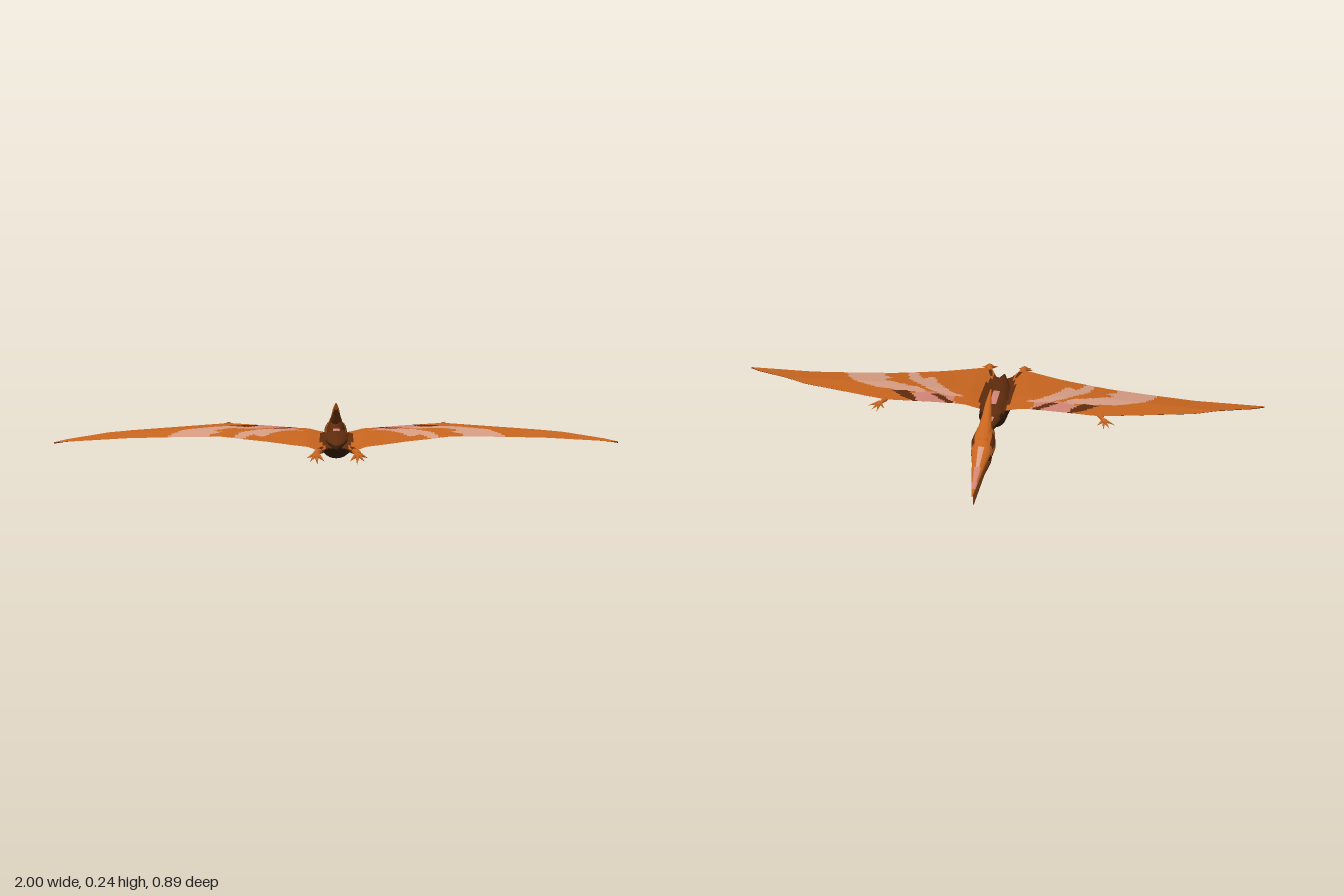
import * as THREE from 'three';

const mat = (name, color) => new THREE.MeshStandardMaterial({ name, color });

// Piecewise linear lookup through [x, value] points
function lerpTable(points, x) {
  for (let i = 1; i < points.length; i++) {
    const [x0, a] = points[i - 1], [x1, b] = points[i];
    if (x <= x1) return a + (b - a) * (x - x0) / (x1 - x0);
  }
  return points[points.length - 1][1];
}

function inside(poly, x, z) {
  let hit = false;
  for (let i = 0, j = poly.length - 1; i < poly.length; j = i++) {
    const [xi, zi] = poly[i], [xj, zj] = poly[j];
    if ((zi > z) !== (zj > z) && x < (xj - xi) * (z - zi) / (zj - zi) + xi) hit = !hit;
  }
  return hit;
}

// Smooth grid whose cells take the material returned by paint(x, y, z)
function paintedGrid(name, rows, cols, point, paint, { flip = false, wrap = false } = {}) {
  const pos = [], buckets = new Map(), n = wrap ? cols : cols + 1;
  for (let i = 0; i <= rows; i++) for (let j = 0; j < n; j++) pos.push(...point(i, j));
  for (let i = 0; i < rows; i++) {
    for (let j = 0; j < cols; j++) {
      const k = (j + 1) % n;
      const a = i * n + j, b = i * n + k, c = (i + 1) * n + k, d = (i + 1) * n + j;
      const mid = [0, 1, 2].map(q => (pos[a * 3 + q] + pos[b * 3 + q] + pos[c * 3 + q] + pos[d * 3 + q]) / 4);
      const m = paint(...mid);
      if (!buckets.has(m)) buckets.set(m, []);
      buckets.get(m).push(...(flip ? [a, b, d, b, c, d] : [a, d, b, b, d, c]));
    }
  }
  const geo = new THREE.BufferGeometry(), index = [];
  geo.setAttribute('position', new THREE.Float32BufferAttribute(pos, 3));
  let slot = 0;
  for (const list of buckets.values()) {
    geo.addGroup(index.length, list.length, slot++);
    for (const v of list) index.push(v);
  }
  geo.setIndex(index);
  geo.computeVertexNormals();
  const mesh = new THREE.Mesh(geo, [...buckets.keys()]);
  mesh.name = name;
  return mesh;
}

// Oval loft through sections [z, top, bottom, halfWidth, centreX], with z falling
function loft(name, sections, paint, sides = 20, sub = 5) {
  const rings = [];
  const shut = ([z, t, b, , c = 0]) => [z, (t + b) / 2, (t + b) / 2, 0, c];
  rings.push(shut(sections[0]));
  sections.forEach((s, i) => {
    const next = sections[i + 1];
    if (!next) return rings.push(s);
    for (let k = 0; k < sub; k++) {
      rings.push([0, 1, 2, 3, 4].map(q => (s[q] || 0) + ((next[q] || 0) - (s[q] || 0)) * k / sub));
    }
  });
  rings.push(shut(sections[sections.length - 1]));
  return paintedGrid(name, rings.length - 1, sides, (i, j) => {
    const [z, t, b, w, c = 0] = rings[i], a = j / sides * Math.PI * 2;
    return [c + w * Math.cos(a), (t + b) / 2 + (t - b) / 2 * Math.sin(a), z];
  }, paint, { wrap: true });
}

// Pointed spike between two points
function spike(name, from, to, r, material) {
  const a = new THREE.Vector3(...from), dir = new THREE.Vector3(...to).sub(a);
  const mesh = new THREE.Mesh(new THREE.ConeGeometry(r, dir.length(), 6), material);
  mesh.position.copy(a).addScaledVector(dir, 0.5);
  mesh.quaternion.setFromUnitVectors(new THREE.Vector3(0, 1, 0), dir.normalize());
  mesh.name = name;
  return mesh;
}

// Wing outline, height and rearward droop along the span
const LEAD = [[0, 0.01], [0.05, 0], [0.14, 0], [0.25, -0.015], [0.4, -0.035], [0.74, 0.06], [0.96, 0.165], [1, 0.197]];
const TRAIL = [[0, 0.28], [0.03, 0.29], [0.06, 0.36], [0.1, 0.33], [0.24, 0.265], [0.41, 0.205], [0.6, 0.188], [0.74, 0.18], [1, 0.2]];
const HEIGHT = [[0, 0.132], [0.06, 0.146], [0.1, 0.156], [0.25, 0.165], [0.4, 0.172], [0.74, 0.159], [1, 0.15]];
const DROOP = [[0, 0.06], [0.25, 0.12], [0.4, 0.16]];

// Wing markings as outlines in (span, z)
const BANDS = [
  [[0.61, 0.22], [0.59, 0.15], [0.55, 0.1], [0.46, 0.06], [0.37, 0.045], [0.24, 0.05], [0.29, 0.085], [0.38, 0.1], [0.44, 0.125], [0.41, 0.15], [0.45, 0.17], [0.44, 0.22]],
  [[0.37, 0.23], [0.345, 0.15], [0.27, 0.09], [0.18, 0.04], [0.12, 0.06], [0.18, 0.09], [0.23, 0.14], [0.26, 0.2], [0.3, 0.17], [0.33, 0.23]],
];
const SHOULDER = [[0.14, -0.02], [0.31, -0.05], [0.32, 0.03], [0.25, 0.065], [0.15, 0.05]];
const STREAKS = [
  [[0.39, 0.04], [0.345, 0.005], [0.28, -0.03], [0.29, 0.005], [0.33, 0.05]],
  [[0.13, -0.01], [0.165, -0.01], [0.24, 0.05], [0.21, 0.055]],
];
const FLANK = [[0, 0], [0.05, 0], [0.06, 0.08], [0.06, 0.2], [0.035, 0.3], [0, 0.3]];
const ARM_PATCH = [[0.12, 0.01], [0.4, -0.02], [0.44, 0.03], [0.34, 0.05], [0.26, 0.08], [0.14, 0.05]];

export function createModel() {
  const orange = mat('orange skin', 0xc8651f);
  const brown = mat('dark brown', 0x602c0d);
  const umber = mat('umber', 0x331b09);
  const tan = mat('tan marking', 0xd69c82);
  const rose = mat('rose marking', 0xd08475);
  const model = new THREE.Group();

  // Body and neck, darker below, with a pale stripe along the spine
  model.add(loft('body', [
    [0.31, 0.128, 0.122, 0.004], [0.25, 0.144, 0.108, 0.024], [0.2, 0.153, 0.1, 0.038],
    [0.09, 0.165, 0.058, 0.058], [0, 0.157, 0.067, 0.05], [-0.035, 0.142, 0.09, 0.034],
    [-0.08, 0.135, 0.1, 0.022], [-0.13, 0.142, 0.104, 0.02],
  ], (x, y, z) => {
    if (y > 0.12 && Math.abs(x) < 0.011 && ((z > 0.02 && z < 0.12) || (z < -0.04 && z > -0.07))) return rose;
    return y > (z < -0.03 ? 0.122 : 0.135) ? brown : umber;
  }, 28));

  // Skull with dark throat, nape and cheek patch
  model.add(loft('skull', [
    [-0.115, 0.145, 0.108, 0.018], [-0.15, 0.176, 0.078, 0.034],
    [-0.2, 0.167, 0.06, 0.044], [-0.25, 0.134, 0.058, 0.036],
  ], (x, y, z) => {
    if (y < 0.1 || (z > -0.145 && y < 0.13)) return umber;
    const cheek = Math.abs(x) > 0.03 && z < -0.18 && z > -0.23 && y > 0.115;
    return cheek || z > -0.165 ? brown : orange;
  }, 24));

  // Crest, browner along its lower rear edge
  model.add(loft('crest', [
    [-0.03, 0.247, 0.244, 0.003], [-0.09, 0.231, 0.198, 0.012], [-0.125, 0.207, 0.155, 0.018],
    [-0.17, 0.181, 0.14, 0.025], [-0.225, 0.154, 0.13, 0.02],
  ], (x, y, z) => (z > -0.17 && z < -0.07 && y < 0.2 + (z + 0.1) * 0.6 ? brown : orange)));

  // Beak with a pale ridge
  model.add(loft('upperBeak', [
    [-0.21, 0.152, 0.09, 0.032], [-0.25, 0.136, 0.088, 0.0365], [-0.3, 0.113, 0.08, 0.025], [-0.443, 0.055, 0.052, 0.002],
  ], (x, y, z) => {
    const ridge = Math.abs(x) < 0.009 && y > 0.105 + (z + 0.3) * 0.38;
    return ridge && z < -0.25 && z > -0.42 ? (z > -0.32 ? tan : rose) : orange;
  }));
  model.add(loft('lowerBeak', [
    [-0.22, 0.092, 0.06, 0.034], [-0.25, 0.084, 0.058, 0.0345], [-0.3, 0.062, 0.041, 0.02], [-0.415, 0.006, 0.002, 0.002],
  ], () => brown));

  const wingPaint = (x, y, z) => {
    const s = Math.abs(x);
    if (inside(FLANK, s, z) || STREAKS.some(p => inside(p, s, z))) return brown;
    if (inside(SHOULDER, s, z)) return rose;
    return BANDS.some(p => inside(p, s, z)) ? tan : orange;
  };
  const underPaint = (x, y, z) => (inside(ARM_PATCH, Math.abs(x), z) ? orange : brown);

  for (const side of [1, -1]) {
    const label = side > 0 ? 'left' : 'right';
    const rows = 100, cols = 40;

    // Wing membrane: thin, bowed skins meeting at both edges
    const wingPoint = under => (i, j) => {
      const x = i / rows, v = j / cols;
      const z0 = lerpTable(LEAD, x), z = z0 + (lerpTable(TRAIL, x) - z0) * v;
      const thick = 0.014 * (1 - 0.6 * x) * 2.2 * Math.sqrt(v) * (1 - v);
      const y = lerpTable(HEIGHT, x) - lerpTable(DROOP, x) * Math.max(0, z - 0.1);
      return [side * x, y - (under ? thick : 0), z];
    };
    model.add(paintedGrid(label + 'WingTop', rows, cols, wingPoint(false), wingPaint, { flip: side > 0 }));
    model.add(paintedGrid(label + 'WingUnderside', rows, cols, wingPoint(true), underPaint, { flip: side < 0 }));

    // Wing fingers at the bend of the leading edge
    const hand = new THREE.Group();
    hand.name = label + 'Hand';
    hand.add(spike('palm', [side * 0.4, 0.167, -0.02], [side * 0.42, 0.162, -0.07], 0.012, orange));
    for (const [dx, dy, z] of [[-0.025, -0.006, -0.07], [0, -0.01, -0.088], [0.022, -0.008, -0.082], [0.04, -0.004, -0.06]]) {
      hand.add(spike('finger', [side * 0.416, 0.163, -0.043], [side * (0.418 + dx), 0.158 + dy, z], 0.008, orange));
    }
    model.add(hand);

    // Hind leg tucked under the membrane, and splayed toes
    model.add(loft(label + 'Leg', [
      [0.385, 0.13, 0.112, 0.013, side * 0.07], [0.36, 0.132, 0.113, 0.012, side * 0.068],
      [0.28, 0.131, 0.108, 0.016, side * 0.052], [0.18, 0.132, 0.1, 0.022, side * 0.032],
    ], (x, y, z) => (z > 0.33 ? orange : y < 0.118 ? umber : brown), 12, 3));
    const foot = new THREE.Group();
    foot.name = label + 'Foot';
    for (const [dx, y, z] of [[-0.028, 0.1, 0.42], [-0.004, 0.093, 0.443], [0.022, 0.1, 0.425], [0.034, 0.108, 0.395]]) {
      foot.add(spike('toe', [side * 0.07, 0.121, 0.373], [side * (0.07 + dx), y, z], 0.01, orange));
    }
    model.add(foot);
  }
  return model;
}
